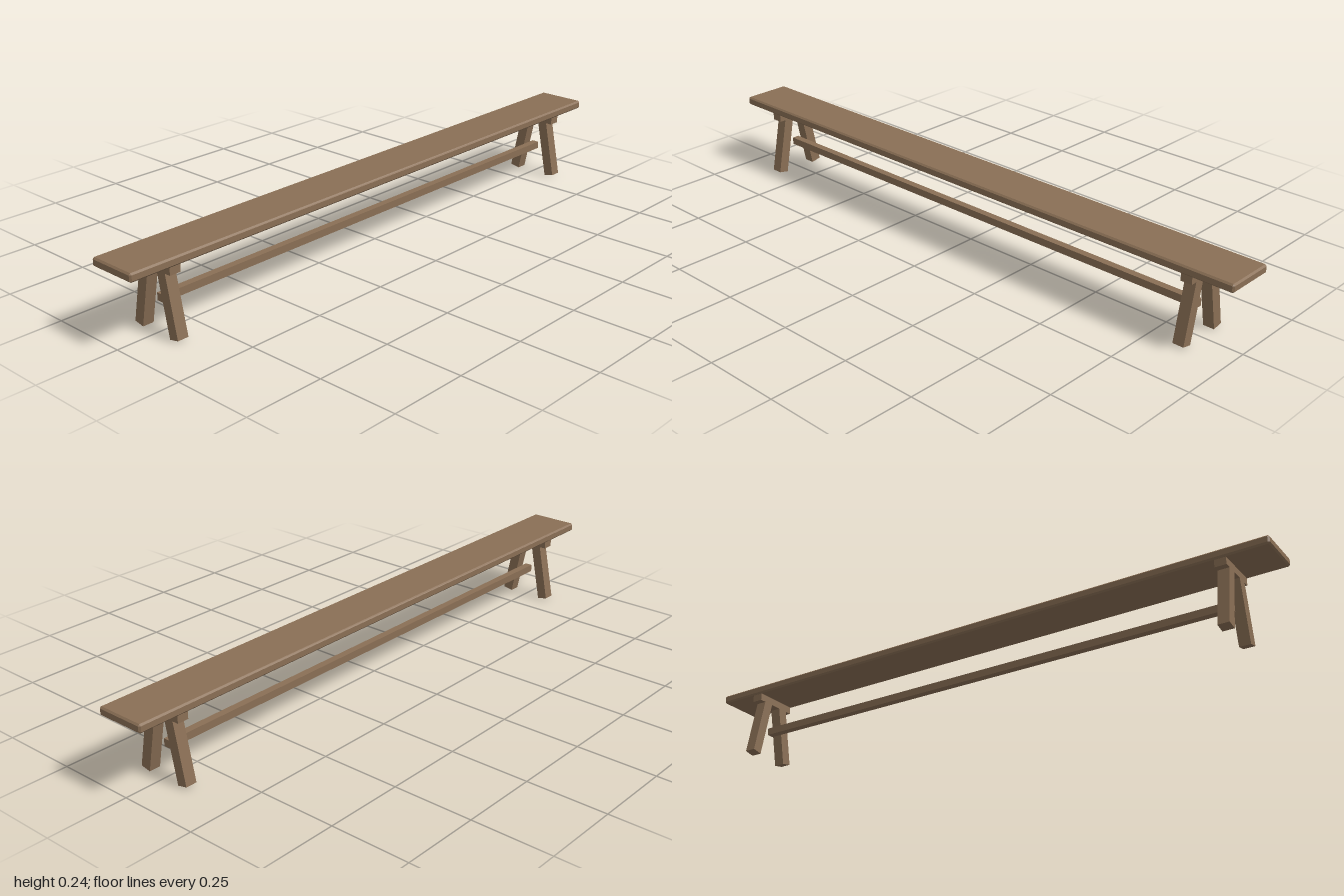
import * as THREE from 'three';
import { ConvexGeometry } from 'three/addons/geometries/ConvexGeometry.js';

// Box with every edge and corner cut flat by c
function chamferedBox(w, h, d, c) {
  const half = [w / 2, h / 2, d / 2];
  const points = [];
  for (const sx of [-1, 1]) for (const sy of [-1, 1]) for (const sz of [-1, 1]) {
    for (let axis = 0; axis < 3; axis++) {
      const [x, y, z] = half.map((v, i) => (i === axis ? v : v - c));
      points.push(new THREE.Vector3(sx * x, sy * y, sz * z));
    }
  }
  return new ConvexGeometry(points);
}

export function createModel() {
  const bench = new THREE.Group();
  bench.name = 'bench';

  const wood = new THREE.MeshStandardMaterial({ color: 0x8a6f55 });
  wood.name = 'brown wood';

  const add = (parent, name, geometry, x, y, z) => {
    const mesh = new THREE.Mesh(geometry, wood);
    mesh.name = name;
    mesh.position.set(x, y, z);
    parent.add(mesh);
    return mesh;
  };

  // Long plank with chamfered edges
  add(bench, 'seat', chamferedBox(2, 0.027, 0.16, 0.005), 0, 0.229, 0);

  // Trestles: a crosspiece under the seat and two splayed legs
  const splay = 0.2, legWidth = 0.0335, legLength = 0.21, thickness = 0.036;
  const crossGeometry = new THREE.BoxGeometry(thickness, 0.0255, 0.148);
  const legGeometry = new THREE.BoxGeometry(thickness, legLength, legWidth);
  legGeometry.translate(0, legLength / 2, 0);

  for (const side of [-1, 1]) {
    const trestle = new THREE.Group();
    trestle.name = side > 0 ? 'leftTrestle' : 'rightTrestle';
    trestle.position.x = side * 0.852;
    bench.add(trestle);

    add(trestle, 'crosspiece', crossGeometry, 0, 0.2045, 0);
    for (const face of [-1, 1]) {
      const foot = (legWidth / 2) * Math.sin(splay);
      const leg = add(trestle, face > 0 ? 'frontLeg' : 'backLeg', legGeometry, 0, foot, face * 0.0738);
      leg.rotation.x = -face * splay;
    }
  }

  // Rail running between the trestles
  add(bench, 'stretcher', new THREE.BoxGeometry(1.7, 0.0235, 0.0235), 0, 0.0985, 0);

  return bench;
}
